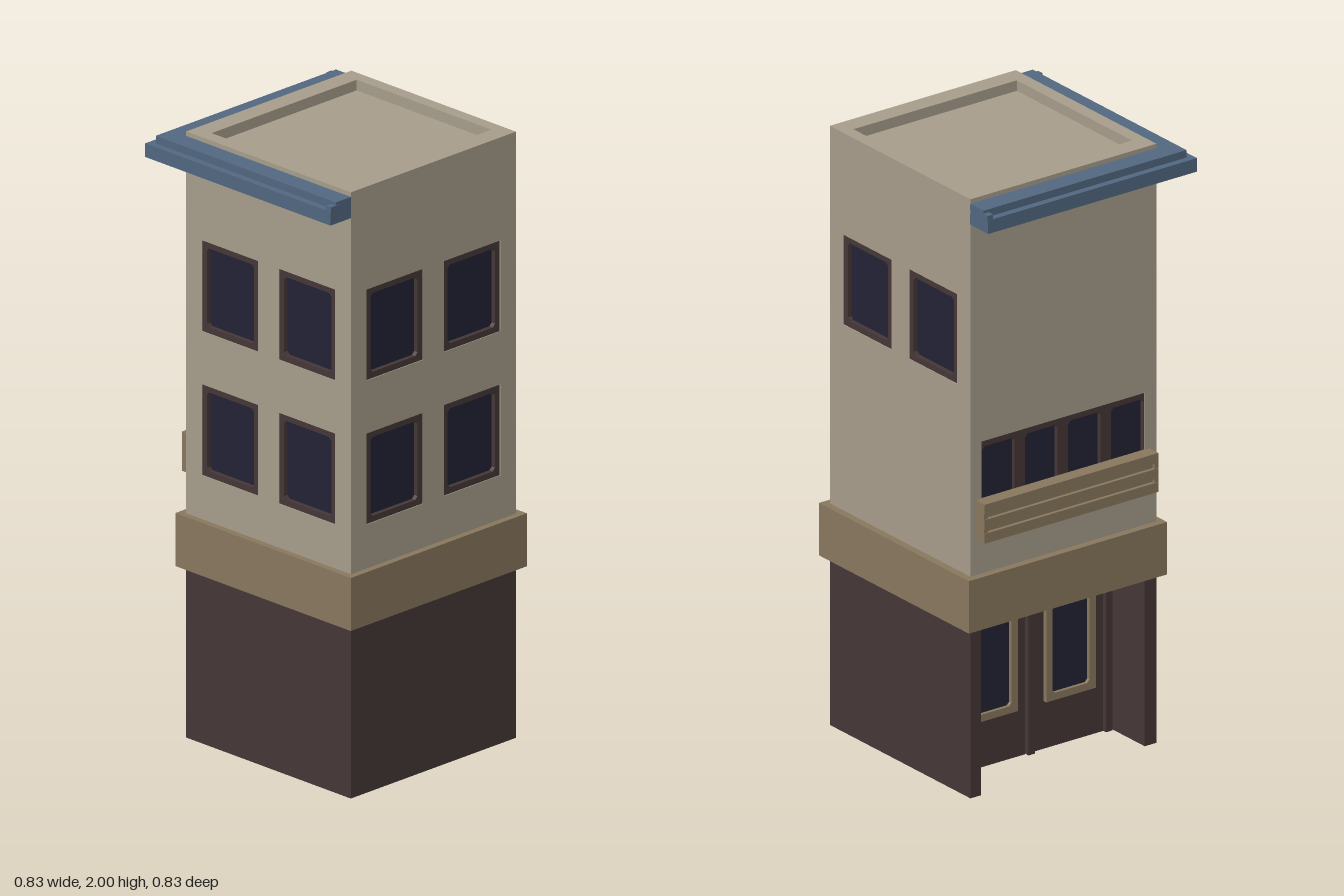
import * as THREE from 'three';

const mat = (name, color) => Object.assign(new THREE.MeshStandardMaterial({ color }), { name });

export function createModel() {
  const plaster = mat('plaster', 0xa59b8a);
  const tan = mat('tan trim', 0x87765d);
  const brown = mat('dark brown', 0x443636);
  const blue = mat('cornice blue', 0x51667f);
  const glass = mat('window glass', 0x222234);

  const model = new THREE.Group();
  model.name = 'townhouse';

  const add = (parent, name, geometry, material) => {
    const mesh = new THREE.Mesh(geometry, material);
    mesh.name = name;
    parent.add(mesh);
    return mesh;
  };

  // Box given by its lower and upper bounds on each axis
  const box = (parent, name, material, [x0, x1], [y0, y1], [z0, z1]) => {
    const mesh = add(parent, name, new THREE.BoxGeometry(x1 - x0, y1 - y0, z1 - z0), material);
    mesh.position.set((x0 + x1) / 2, (y0 + y1) / 2, (z0 + z1) / 2);
    return mesh;
  };

  // Rectangle outline with optionally cut corners
  const rect = (Type, x0, x1, y0, y1, c = 0) => {
    const points = c === 0
      ? [[x0, y0], [x1, y0], [x1, y1], [x0, y1]]
      : [[x0 + c, y0], [x1 - c, y0], [x1, y0 + c], [x1, y1 - c],
        [x1 - c, y1], [x0 + c, y1], [x0, y1 - c], [x0, y0 + c]];
    return new Type(points.map(([x, y]) => new THREE.Vector2(x, y)));
  };

  // Rectangular frame lying between z - depth and z
  const frame = (parent, name, material, [x0, x1], [y0, y1], border, z, depth, cut = 0.01) => {
    const shape = rect(THREE.Shape, x0, x1, y0, y1);
    shape.holes.push(rect(THREE.Path, x0 + border, x1 - border, y0 + border, y1 - border, cut));
    const geometry = new THREE.ExtrudeGeometry(shape, { depth, bevelEnabled: false });
    add(parent, name, geometry.translate(0, 0, z - depth), material);
  };

  const windowUnit = (parent, xs, ys) => {
    const unit = new THREE.Group();
    unit.name = 'window';
    parent.add(unit);
    frame(unit, 'windowFrame', brown, xs, ys, 0.02, -0.003, 0.033);
    box(unit, 'windowPane', glass, xs, ys, [-0.026, -0.018]);
  };

  // Upper walls: each is cut out for its windows, then turned into place
  const half = 0.3575;
  const upper = new THREE.Group();
  upper.name = 'upperFloors';
  upper.position.set(0.0325, 0, -0.0325);
  model.add(upper);

  const wall = (name, turn, thickness, holes, windows) => {
    const side = new THREE.Group();
    side.name = name;
    side.rotation.y = turn * Math.PI / 2;
    upper.add(side);
    const shape = rect(THREE.Shape, -half, half, 0.6, 2);
    holes.forEach(([xs, ys]) => shape.holes.push(rect(THREE.Path, ...xs, ...ys)));
    const face = new THREE.Group();
    face.position.z = half;
    side.add(face);
    const geometry = new THREE.ExtrudeGeometry(shape, { depth: thickness, bevelEnabled: false });
    add(face, 'wall', geometry.translate(0, 0, -thickness), plaster);
    windows.forEach(([xs, ys]) => windowUnit(face, xs, ys));
  };

  const pair = (y) => [-0.1675, 0.1675].map((x) => [[x - 0.1225, x + 0.1225], [y, y + 0.3]]);
  const lowRow = pair(0.885), highRow = pair(1.36);
  wall('frontWall', 0, 0.045, [...lowRow, ...highRow], [...lowRow, ...highRow]);
  wall('leftWall', 1, 0.065, [...lowRow, ...highRow], [...lowRow, ...highRow]);
  wall('backWall', 2, 0.042, highRow, highRow);

  // Row of four joined windows above the balcony rail
  const row = [0, 1, 2, 3].map((i) => [[-0.33 + i * 0.165, -0.165 + i * 0.165], [0.88, 1.18]]);
  wall('rightWall', 3, 0.065, [[[-0.33, 0.33], [0.88, 1.18]]], row);

  box(model, 'roofDeck', plaster, [-0.28, 0.345], [1.92, 1.965], [-0.37, 0.3]);

  // Stepped cornice on the front and right sides
  [[0.415, [1.915, 1.96]], [0.392, [1.96, 1.985]]].forEach(([reach, ys]) => {
    box(model, 'frontCornice', blue, [-reach, 0.39], ys, [0.323, reach - 0.002]);
    box(model, 'sideCornice', blue, [-reach, -0.323], ys, [-0.39, 0.323]);
  });
  box(model, 'corniceEnd', blue, [0.37, 0.391], [1.955, 1.975], [0.37, 0.412]);
  box(model, 'corniceEnd', blue, [-0.414, -0.37], [1.955, 1.975], [-0.391, -0.37]);

  // Balcony: end plates with three rails over a recessed backing
  const balcony = new THREE.Group();
  balcony.name = 'balcony';
  model.add(balcony);
  box(balcony, 'balconyPanel', tan, [-0.358, -0.322], [0.865, 0.98], [-0.36, 0.29]);
  [0.86, 0.906, 0.957].forEach((y) =>
    box(balcony, 'balconyRail', tan, [-0.37, -0.322], [y, y + 0.033], [-0.368, 0.298]));
  [-0.37, 0.285].forEach((z) =>
    box(balcony, 'balconyEnd', tan, [-0.368, -0.322], [0.861, 0.989], [z, z + 0.015]));

  // Belt between the ground floor and the upper floors
  box(model, 'beltLedge', tan, [-0.35, 0.412], [0.565, 0.74], [-0.415, 0.347]);

  // Ground floor with an entrance recess on the right side
  box(model, 'groundFloor', brown, [-0.145, 0.39], [0, 0.566], [-0.39, 0.325]);
  box(model, 'backJamb', brown, [-0.325, -0.145], [0, 0.566], [-0.39, -0.35]);
  box(model, 'frontJamb', brown, [-0.325, -0.145], [0, 0.566], [0.28, 0.325]);

  // Double doors, each with a trimmed glass panel
  const entrance = new THREE.Group();
  entrance.name = 'entrance';
  entrance.position.set(-0.145, 0, -0.035);
  entrance.rotation.y = -Math.PI / 2;
  model.add(entrance);
  [-0.31, -0.012, 0.286].forEach((x) =>
    box(entrance, 'doorPost', brown, [x, x + 0.024], [0, 0.56], [-0.01, 0.022]));
  box(entrance, 'doorHead', brown, [-0.31, 0.31], [0.535, 0.56], [-0.01, 0.02]);
  [-0.15, 0.15].forEach((x) => {
    box(entrance, 'door', brown, [x - 0.135, x + 0.135], [0, 0.535], [-0.01, 0.008]);
    box(entrance, 'doorGlass', glass, [x - 0.08, x + 0.08], [0.18, 0.48], [0.006, 0.012]);
    frame(entrance, 'doorTrim', tan, [x - 0.095, x + 0.095], [0.16, 0.5], 0.024, 0.024, 0.02);
  });

  return model;
}
